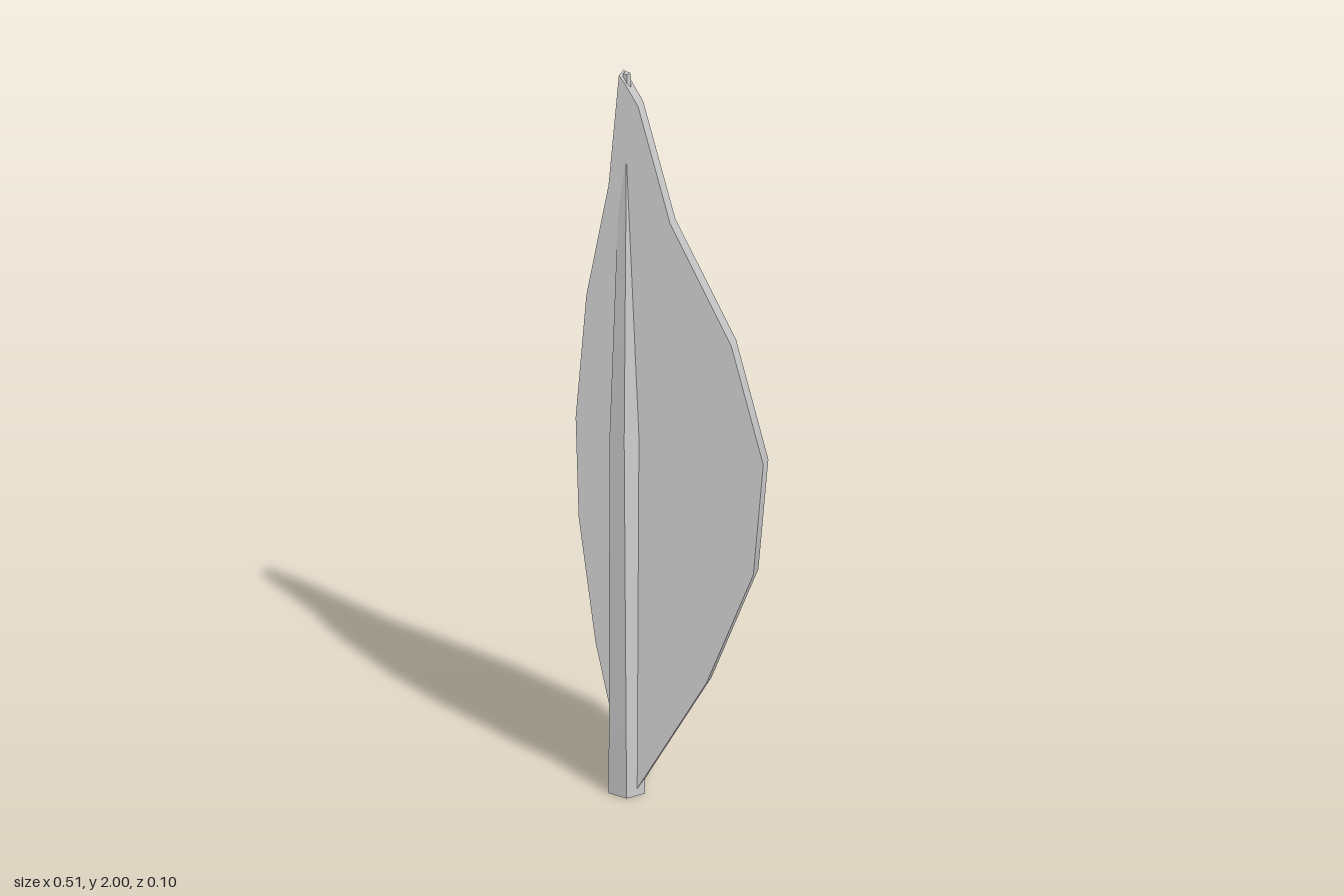
import * as THREE from 'three';
import { toCreasedNormals } from 'three/addons/utils/BufferGeometryUtils.js';

export function createModel() {
  const model = new THREE.Group();
  model.name = 'feather';
  const grey = new THREE.MeshStandardMaterial({ color: 0xcccccc, side: THREE.DoubleSide });
  grey.name = 'feather grey';

  const addPart = (name, geometry) => {
    const mesh = new THREE.Mesh(toCreasedNormals(geometry, 0.6), grey);
    mesh.name = name;
    model.add(mesh);
  };

  // Flat vane: asymmetric outline, wide on the left side of the shaft
  const outline = [
    [-0.09, 0.015], [0.1, 0.34], [0.227, 0.66], [0.254, 0.97], [0.167, 1.29],
    [0.002, 1.605], [-0.085, 1.92], [-0.122, 1.98], [-0.137, 2],
    [-0.165, 1.69], [-0.225, 1.375], [-0.254, 1.03], [-0.246, 0.755],
    [-0.2, 0.41], [-0.155, 0.205], [-0.13, 0.025],
  ].map(([x, y]) => new THREE.Vector2(x, y));
  const vane = new THREE.ExtrudeGeometry(new THREE.Shape(outline), {
    depth: 0.039, bevelEnabled: false,
  });
  vane.translate(0, 0, -0.025);
  addPart('vane', vane);

  // Five-sided hollow shaft, open below: tapers upward and bows forward at mid height
  const rings = [
    { radius: 0.049, z: -0.006 },
    { radius: 0.04, z: 0.013 },
    { radius: 0.01, z: -0.006 },
  ];
  const shaft = new THREE.CylinderGeometry(1, 1, 2, 5, 2, true, Math.PI / 2);
  const p = shaft.attributes.position;
  for (let i = 0; i < p.count; i++) {
    const ring = rings[Math.round(p.getY(i) + 1)];
    p.setXYZ(i, p.getX(i) * ring.radius - 0.122, p.getY(i) + 1, p.getZ(i) * ring.radius + ring.z);
  }
  addPart('shaft', shaft);

  // Cap closing the top of the shaft
  const tip = new THREE.CircleGeometry(0.01, 5);
  tip.rotateX(-Math.PI / 2);
  tip.translate(-0.122, 2, -0.006);
  addPart('shaftTip', tip);

  return model;
}
